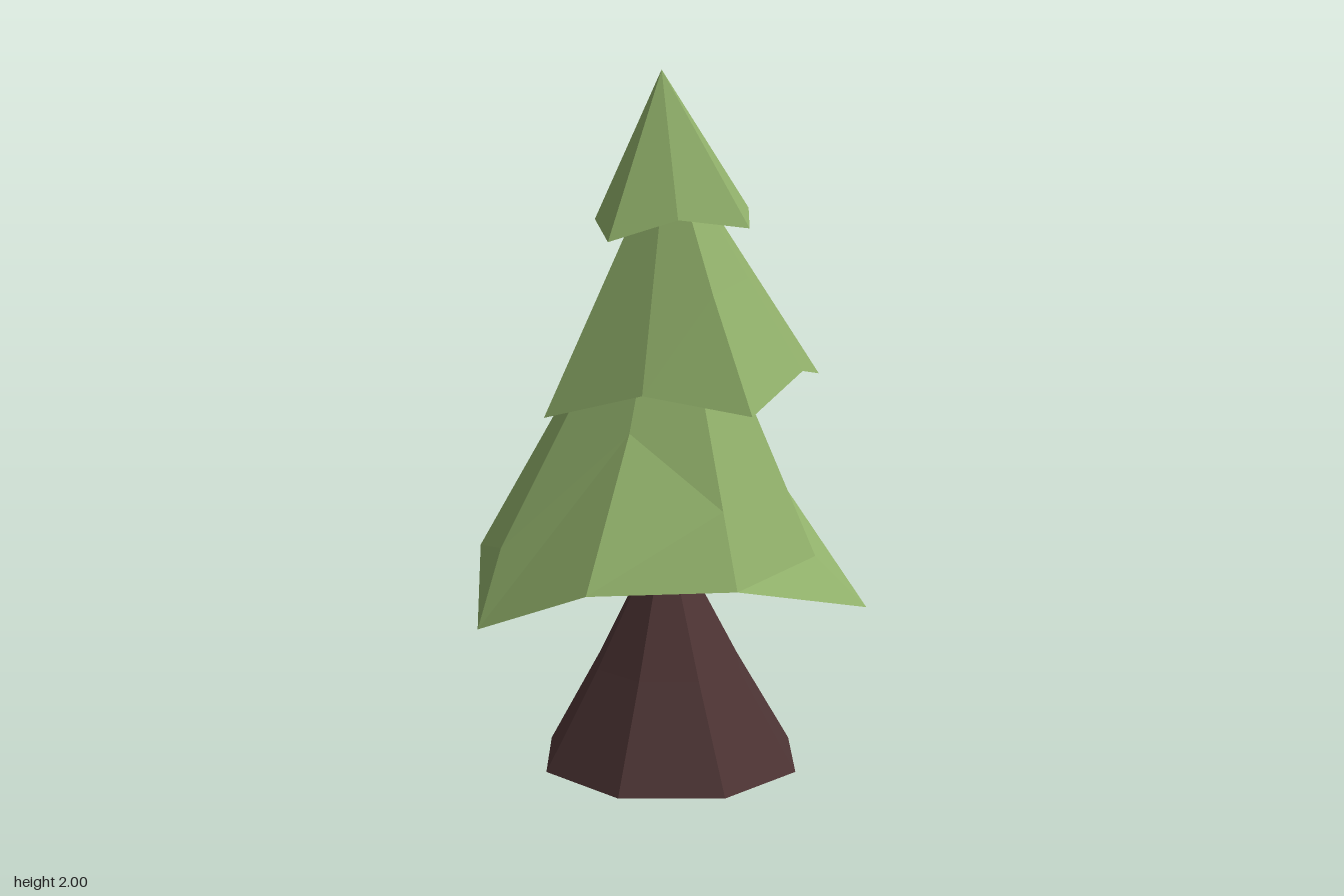
import * as THREE from 'three';

const leaf = new THREE.MeshStandardMaterial({ color: 0x8fae69, flatShading: true, side: THREE.DoubleSide });
leaf.name = 'leafGreen';
const bark = new THREE.MeshStandardMaterial({ color: 0x4d3434, flatShading: true, side: THREE.DoubleSide });
bark.name = 'barkBrown';

// Open faceted shell through rings of points, listed from bottom to top
function loft(name, rings, material) {
  const pos = [];
  const tri = (...pts) => pts.forEach((p) => pos.push(...p));
  for (let r = 0; r < rings.length - 1; r++) {
    const a = rings[r], b = rings[r + 1], n = a.length;
    for (let i = 0; i < n; i++) {
      const j = (i + 1) % n;
      tri(a[i], b[i], a[j]);
      if (b[i] !== b[j]) tri(a[j], b[i], b[j]);
    }
  }
  const geo = new THREE.BufferGeometry();
  geo.setAttribute('position', new THREE.Float32BufferAttribute(pos, 3));
  geo.computeVertexNormals();
  const mesh = new THREE.Mesh(geo, material);
  mesh.name = name;
  return mesh;
}

// Hollow tier of branches: ragged rim, a middle ring with a few bends, and a tip
function tier(name, rim, apex, t, bends) {
  const mid = rim.map((p, i) => bends[i] || p.map((v, k) => v + (apex[k] - v) * t));
  return loft(name, [rim, mid, rim.map(() => apex)], leaf);
}

// Octagonal trunk ring
function octagon(x, y, z, r) {
  return Array.from({ length: 8 }, (_, i) => {
    const a = THREE.MathUtils.degToRad(45 * i - 5);
    return [x + r * Math.cos(a), y, z + r * Math.sin(a)];
  });
}

export function createModel() {
  const tree = new THREE.Group();
  tree.name = 'pineTree';

  // Flared, open-bottomed trunk with a thin stem inside the branches
  tree.add(loft('trunk', [
    octagon(0.068, 0, -0.052, 0.39),
    octagon(0.06, 0.29, -0.048, 0.222),
    octagon(0.055, 0.545, -0.05, 0.088),
    octagon(0.047, 0.64, -0.045, 0.075),
    octagon(0.047, 1.1, -0.045, 0.06),
  ], bark));

  tree.add(tier('lowerBranches', [
    [0.525, 0.57, -0.06], [0.49, 0.535, 0.4], [0.075, 0.635, 0.497], [-0.32, 0.635, 0.42],
    [-0.55, 0.49, 0.14], [-0.425, 0.6, -0.38], [-0.03, 0.57, -0.5], [0.405, 0.395, -0.475],
  ], [0.06, 1.61, -0.04], 0.2, {
    1: [0.385, 0.66, 0.28], 3: [-0.13, 1.02, 0.19], 4: [-0.46, 0.69, 0.045],
  }));

  tree.add(tier('middleBranches', [
    [0.547, 1.115, -0.105], [0.39, 1.165, 0.155], [0.16, 1.08, 0.37], [-0.1, 1.125, 0.21],
    [-0.318, 1.04, -0.015], [-0.15, 1.14, -0.285], [0.07, 1.08, -0.495], [0.335, 1.163, -0.335],
  ], [0.06, 1.81, -0.06], 0.4, { 2: [0.11, 1.39, 0.19] }));

  tree.add(tier('topBranches', [
    [0.285, 1.615, -0.01], [0.22, 1.57, 0.175], [0.02, 1.595, 0.155], [-0.16, 1.535, 0.09],
    [-0.14, 1.585, -0.11], [-0.07, 1.545, -0.295], [0.12, 1.6, -0.275], [0.305, 1.575, -0.205],
  ], [0.04, 2, -0.055], 0.35, { 6: [0.12, 1.77, -0.195] }));

  return tree;
}
